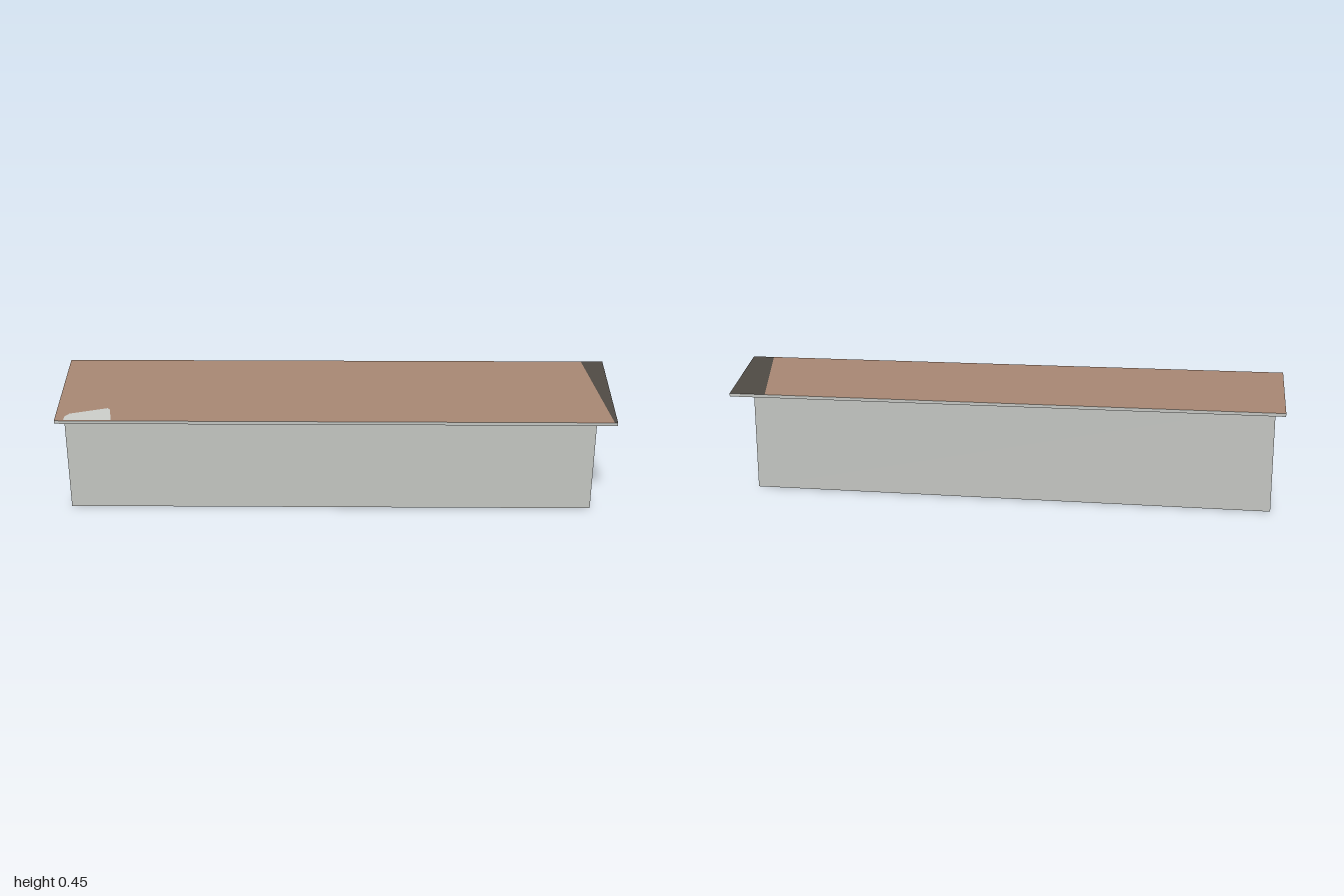
import * as THREE from 'three';

const ANGLE = 0.2121, C = Math.cos(ANGLE), S = Math.sin(ANGLE);
const RIDGE = -0.036, RIDGE_Y = 0.447, SLOPE = 0.371, THICK = 0.011;
const DARK_X = 0.87; // the dark roof end starts here

// Plan point from distance along (u) and across (v) the building
const plan = (u, v) => [C * u - S * v, S * u + C * v];
// Plan point at the dark edge, for a given distance across
const cut = (v) => plan((DARK_X + S * v) / C, v);
// Height of the roof surface above a plan point
const roofY = (x, z) => RIDGE_Y - SLOPE * Math.abs(C * z - S * x - RIDGE);
const underY = (x, z) => roofY(x, z) - THICK;

// Sheet over a plan outline, raised by a height rule
function sheet(points, height, down = false) {
  const shape = new THREE.Shape(points.map(([x, z]) => new THREE.Vector2(x, -z)));
  const g = new THREE.ShapeGeometry(shape).toNonIndexed();
  const p = g.attributes.position;
  for (let i = 0; i < p.count; i++) {
    const x = p.getX(i), z = -p.getY(i);
    p.setXYZ(i, x, height(x, z), z);
  }
  if (down) {
    for (let i = 0; i < p.count; i += 3) {
      const a = new THREE.Vector3().fromBufferAttribute(p, i + 1);
      const b = new THREE.Vector3().fromBufferAttribute(p, i + 2);
      p.setXYZ(i + 1, b.x, b.y, b.z);
      p.setXYZ(i + 2, a.x, a.y, a.z);
    }
  }
  g.computeVertexNormals();
  return g;
}

// Closed vertical band around a plan outline (counter-clockwise seen from above)
function band(points, bottom, top) {
  const v = [];
  points.forEach((a, i) => {
    const b = points[(i + 1) % points.length];
    const a0 = [a[0], bottom(...a), a[1]], a1 = [a[0], top(...a), a[1]];
    const b0 = [b[0], bottom(...b), b[1]], b1 = [b[0], top(...b), b[1]];
    v.push(...a0, ...b0, ...b1, ...a0, ...b1, ...a1);
  });
  const g = new THREE.BufferGeometry();
  g.setAttribute('position', new THREE.Float32BufferAttribute(v, 3));
  g.computeVertexNormals();
  return g;
}

// Outline of the building with extra points at the ridge
const outline = (u0, u1, back, front) => [
  plan(u0, front), plan(u1, front), plan(u1, RIDGE),
  plan(u1, back), plan(u0, back), plan(u0, RIDGE),
];

export function createModel() {
  const material = (name, color) =>
    new THREE.MeshStandardMaterial({ name, color, side: THREE.DoubleSide });
  const wall = material('pale grey wall', 0xc2c4c0);
  const brown = material('brown roof', 0x9f806d);
  const dark = material('dark roof', 0x4b4640);

  const group = new THREE.Group();
  group.name = 'longBuilding';
  const add = (name, geometry, mat) => {
    const mesh = new THREE.Mesh(geometry, mat);
    mesh.name = name;
    group.add(mesh);
  };

  // Walls with gables reaching the underside of the roof
  const W = { u0: -0.932, u1: 0.894, back: -0.216, front: 0.253 };
  add('walls', band(outline(W.u0, W.u1, W.back, W.front), () => 0, underY), wall);

  // Floor, dark at one corner
  const corner = plan(W.u1, W.back);
  const cutBack = cut(W.back);
  const cutEnd = plan(W.u1, (C * W.u1 - DARK_X) / S);
  add('floor', sheet([plan(W.u0, W.front), plan(W.u1, W.front), cutEnd, cutBack,
    plan(W.u0, W.back)], () => 0, true), brown);
  add('floorCorner', sheet([cutEnd, corner, cutBack], () => 0, true), dark);

  // Roof slopes, upper and lower faces
  const R = { u0: -0.962, u1: 0.96, back: -0.277, front: 0.275 };
  for (const [side, eave] of [['front', R.front], ['back', R.back]]) {
    const main = [plan(R.u0, eave), cut(eave), cut(RIDGE), plan(R.u0, RIDGE)];
    const end = [cut(eave), plan(R.u1, eave), plan(R.u1, RIDGE), cut(RIDGE)];
    add(side + 'Roof', sheet(main, roofY), brown);
    add(side + 'RoofUnderside', sheet(main, underY, true), brown);
    add(side + 'RoofEnd', sheet(end, roofY), dark);
    add(side + 'RoofEndUnderside', sheet(end, underY, true), dark);
  }

  // Pale edge running round the roof
  add('roofEdge', band(outline(R.u0, R.u1, R.back, R.front), underY, roofY), wall);

  // Pale patch at the front eave
  const patch = [[-0.967, 0.071], [-0.962, 0.055], [-0.945, 0.045], [-0.815, 0.045],
    [-0.808, 0.053], [-0.808, 0.105]];
  add('roofPatch', sheet(patch, (x, z) => roofY(x, z) + 0.002), wall);
  add('roofPatchUnderside', sheet(patch, (x, z) => underY(x, z) - 0.002, true), wall);

  return group;
}
